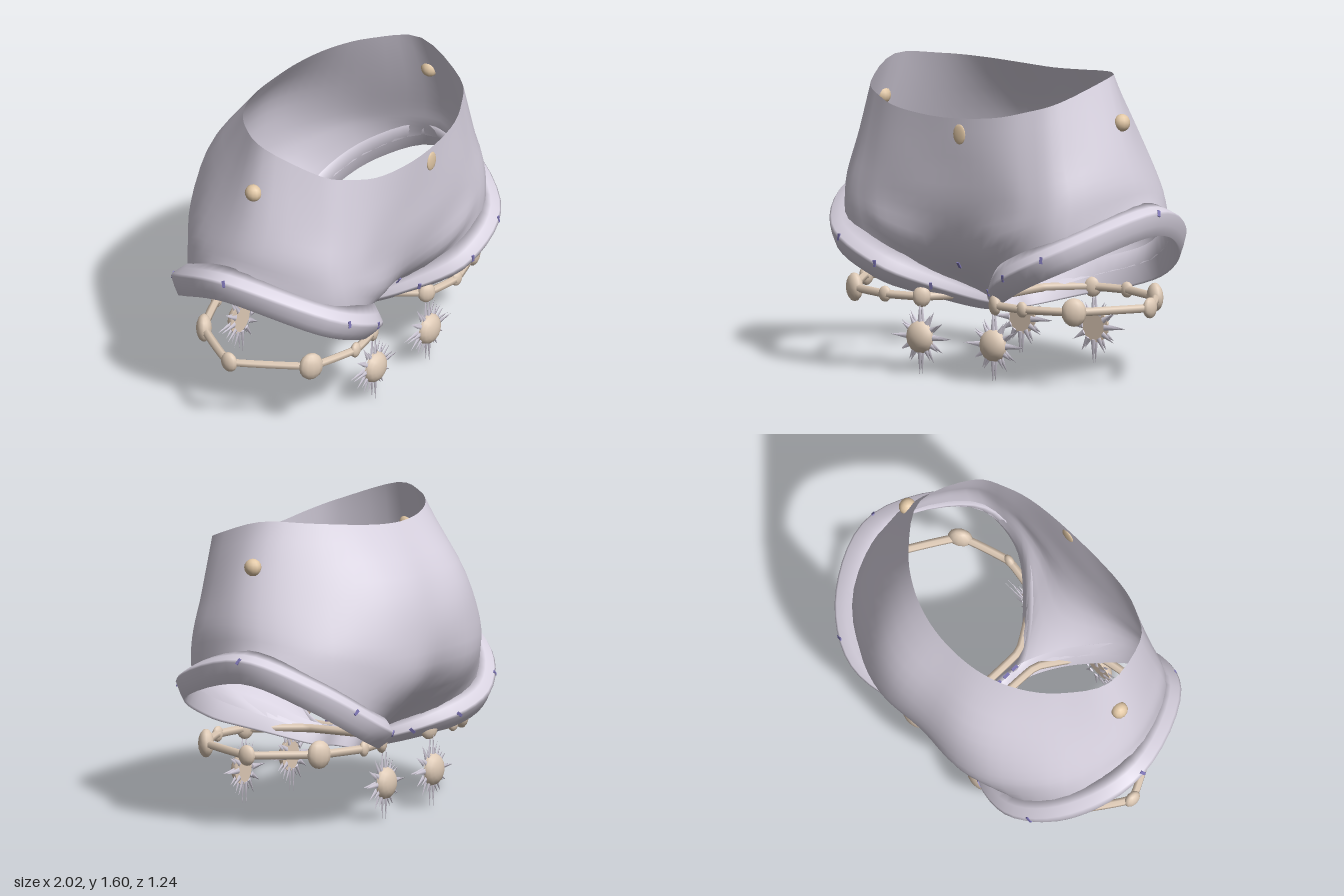
import * as THREE from 'three';

const V = (p) => new THREE.Vector3(...p);
const flip = (v) => new THREE.Vector3(-v.x, v.y, v.z);
const paint = (name, color, side = THREE.FrontSide) => {
  const m = new THREE.MeshStandardMaterial({ color, side });
  m.name = name;
  return m;
};

// Half of the garment from front centre to back centre; each column runs waist to leg edge
const COLUMNS = [
  [[0, 1.39, .57], [0, 1.15, .56], [0, .88, .545], [0, .63, .45], [0, .39, .14]],
  [[.3, 1.41, .55], [.32, 1.15, .56], [.33, .92, .555], [.28, .7, .535], [.18, .475, .34]],
  [[.48, 1.45, .49], [.52, 1.15, .52], [.54, .95, .54], [.5, .8, .55], [.43, .6, .52]],
  [[.62, 1.5, .38], [.68, 1.2, .42], [.73, 1.02, .44], [.73, .87, .46], [.72, .74, .46]],
  [[.7, 1.6, .08], [.81, 1.28, .1], [.87, 1.08, .08], [.89, .97, .06], [.92, .88, .03]],
  [[.56, 1.59, -.14], [.68, 1.25, -.22], [.75, 1.02, -.29], [.78, .9, -.31], [.81, .75, -.3]],
  [[.39, 1.57, -.27], [.46, 1.25, -.45], [.52, .97, -.52], [.54, .78, -.51], [.56, .575, -.46]],
  [[.2, 1.55, -.34], [.25, 1.25, -.55], [.28, .97, -.61], [.28, .73, -.58], [.24, .47, -.37]],
  [[0, 1.54, -.36], [0, 1.25, -.55], [0, .97, -.615], [0, .7, -.53], [0, .39, -.15]],
].map((c) => c.map(V));

// Skin a closed loop of cross-sections
function loft(rows, closeSection) {
  const n = rows.length, m = rows[0].length, pos = [], idx = [];
  rows.forEach((r) => r.forEach((p) => pos.push(p.x, p.y, p.z)));
  for (let i = 0; i < n; i++) {
    for (let j = 0; j < (closeSection ? m : m - 1); j++) {
      const i2 = (i + 1) % n, j2 = (j + 1) % m;
      const a = i * m + j, b = i * m + j2, c = i2 * m + j, d = i2 * m + j2;
      idx.push(a, b, c, c, b, d);
    }
  }
  const g = new THREE.BufferGeometry();
  g.setAttribute('position', new THREE.Float32BufferAttribute(pos, 3));
  g.setIndex(idx);
  g.computeVertexNormals();
  return g;
}

const smooth = (pts, closed) => new THREE.CatmullRomCurve3(pts, closed, 'catmullrom', .5);

export function createModel() {
  const root = new THREE.Group();
  const fabric = paint('lavender fabric', 0xd8d2e0, THREE.DoubleSide);
  const bone = paint('beige beads', 0xdfcbb7);
  const gold = paint('tan studs', 0xe2c8a6);
  const violet = paint('violet stitches', 0x7d75b4);
  const add = (parent, name, geo, mat, p = [0, 0, 0]) => {
    const m = new THREE.Mesh(geo, mat);
    m.name = name;
    m.position.set(...p);
    parent.add(m);
    return m;
  };

  // Body of the shorts
  const around = [...COLUMNS, ...COLUMNS.slice(1, -1).reverse().map((c) => c.map(flip))];
  const down = around.map((c) => smooth(c, false).getPoints(14));
  const rings = down[0].map((_, j) => smooth(down.map((c) => c[j]), true).getPoints(64).slice(0, -1));
  const body = rings[0].map((_, i) => rings.map((r) => r[i]));
  add(root, 'shortsBody', loft(body, false), fabric);

  // Folded cuffs: a triangular section of (outward, downward) offsets swept round each leg edge
  const section = [[.01, -.085], [.05, -.045], [.085, -.005], [.087, .012], [.045, .06], [.004, .1], [-.004, .09], [0, 0]];
  const axis = V([.47, -.88, 0]).normalize();
  const centre = V([.5, .63, .02]);
  const edge = COLUMNS.map((c) => c[4].clone());
  edge[0].x = edge[8].x = .035;
  edge.push(V([.035, .395, 0]));
  const edgeCurve = smooth(edge, true);
  const frame = (t) => {
    const p = edgeCurve.getPoint(t);
    const out = p.clone().sub(centre);
    out.addScaledVector(axis, -out.dot(axis)).normalize();
    const k = THREE.MathUtils.clamp(.35 + p.x * 1.8, .4, 1);
    const flare = .22 * Math.abs(out.z);
    const at = (o, d) => p.clone()
      .addScaledVector(out, (o + Math.max(d, 0) * flare) * k)
      .addScaledVector(axis, d * (.4 + .6 * k));
    return { out, at };
  };
  const cuff = [];
  for (let i = 0; i < 60; i++) {
    const f = frame(i / 60);
    cuff.push(section.map(([o, d]) => f.at(o, d)));
  }
  add(root, 'leftCuff', loft(cuff, true), fabric);
  add(root, 'rightCuff', loft(cuff.map((r) => r.map(flip)).reverse(), true), fabric);

  // Small stitches on the cuffs, centre seam and crotch
  const stitch = new THREE.BoxGeometry(.016, .036, .006);
  for (const s of [1, -1]) {
    for (const t of [.12, .2, .27, .4, .56, .66, .73]) {
      const f = frame(t);
      const p = f.at(.085, .005);
      const n = f.out.clone();
      if (s < 0) { p.x *= -1; n.x *= -1; }
      add(root, 'stitch', stitch, violet, p.toArray()).quaternion.setFromUnitVectors(V([0, 0, 1]), n);
    }
  }
  add(root, 'seamStitch', stitch, violet, [0, .6, .434]).rotation.x = .6;
  for (const z of [-.04, .02, .08]) {
    add(root, 'crotchStitch', stitch, violet, [0, .452, z]).rotation.x = -Math.PI / 2;
  }

  // Waist studs
  const ball = new THREE.SphereGeometry(1, 12, 8);
  for (const s of [1, -1]) {
    add(root, 'sideStud', ball, gold, [s * .785, 1.375, .07]).scale.set(.042, .046, .046);
  }
  add(root, 'frontStud', ball, gold, [.105, 1.31, .566]).scale.set(.04, .053, .01);

  // Sunburst pendant: domed disc with two layers of thin spikes
  const dome = new THREE.SphereGeometry(.085, 14, 5, 0, Math.PI * 2, 0, Math.PI / 2);
  dome.rotateX(Math.PI / 2).scale(1, 1, .65);
  const disc = new THREE.CircleGeometry(.085, 14).rotateY(Math.PI);
  const spikes = [.195, .14, .155].map((r) =>
    new THREE.ConeGeometry(.016, r - .07, 4).scale(1, 1, .35).translate(0, (r + .07) / 2, 0));
  const pendant = (x, z, face) => {
    const g = new THREE.Group();
    g.name = 'sunPendant';
    g.position.set(x, .205, z);
    if (face < 0) g.rotation.y = Math.PI;
    add(g, 'pendantDome', dome, bone);
    add(g, 'pendantBack', disc, bone);
    for (let i = 0; i < 12; i++) {
      for (const layer of [-.015, .006]) {
        const geo = spikes[i % 3 === 0 ? 0 : layer < 0 ? 2 : 1];
        add(g, 'spike', geo, fabric, [0, 0, layer]).rotation.z = i * Math.PI / 6;
      }
    }
    root.add(g);
  };

  // Beaded leg rings: x, z, bead size (0 = no bead)
  const stations = [
    [.93, .02, .055], [.72, .39, .075], [.45, .48, .042], [.24, .44, .055], [.06, .17, 0],
    [.06, -.2, 0], [.24, -.38, .055], [.45, -.4, .042], [.72, -.29, .075],
  ];
  for (const s of [1, -1]) {
    const pts = stations.map(([x, z]) => V([s * x, .415, z]));
    const path = new THREE.CatmullRomCurve3(pts, true, 'catmullrom', .12);
    add(root, 'legRing', new THREE.TubeGeometry(path, 54, .022, 6, true), bone);
    stations.forEach(([x, z, r]) => {
      if (!r) return;
      const bead = add(root, 'bead', ball, bone, [s * x, .415, z]);
      bead.scale.set(r * .88, r, r * .55);
      bead.rotation.y = Math.atan2(s * (x - .5), z - .03);
    });
    pendant(s * .24, .45, 1);
    pendant(s * .24, -.4, -1);
  }
  return root;
}
